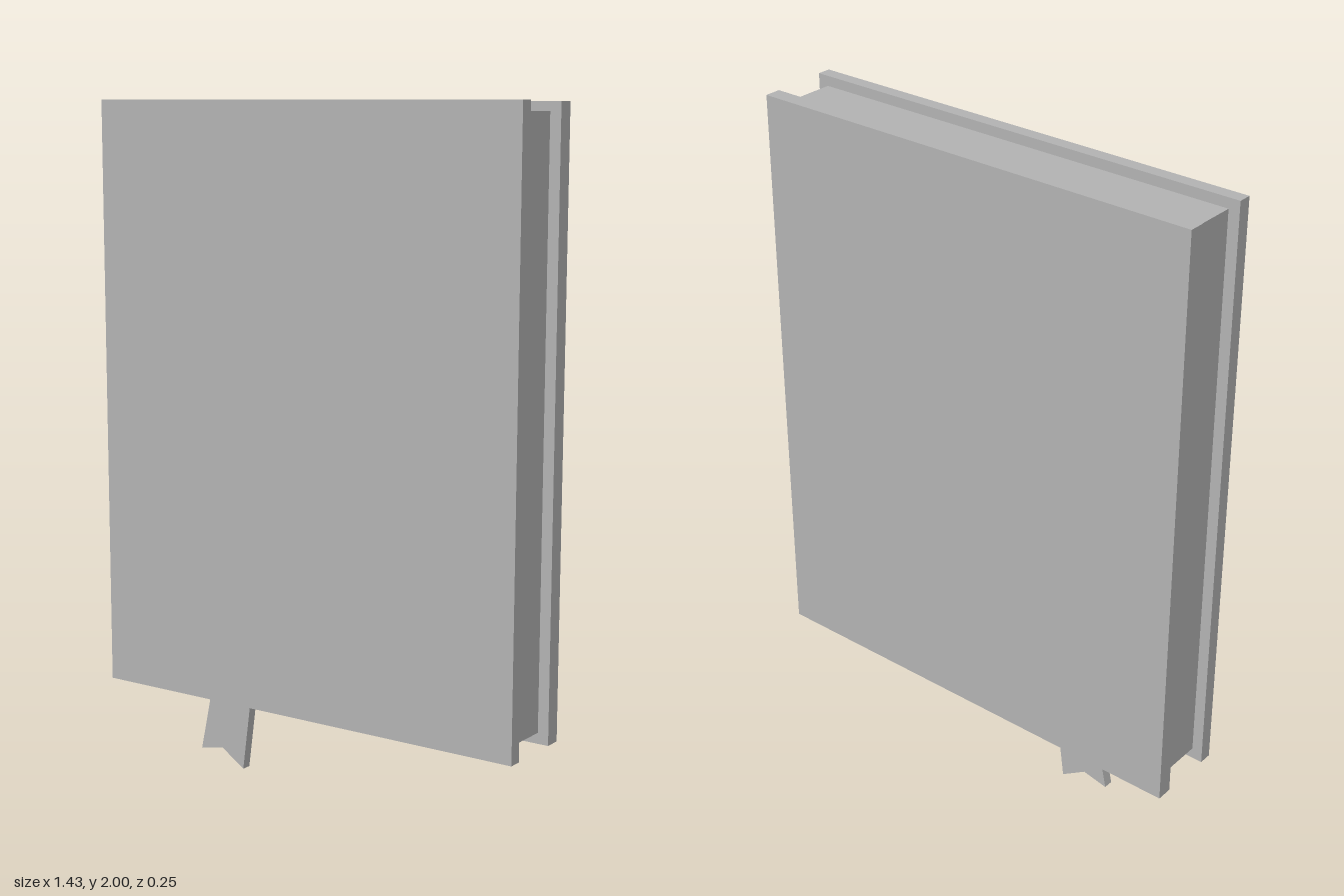
import * as THREE from 'three';

export function createModel() {
  const group = new THREE.Group();
  const grey = new THREE.MeshStandardMaterial({ color: 0xb2b2b2 });
  grey.name = 'plain grey';

  // Box given by its half width and its y and z ranges
  const slab = (name, halfWidth, y0, y1, z0, z1) => {
    const mesh = new THREE.Mesh(new THREE.BoxGeometry(halfWidth * 2, y1 - y0, z1 - z0), grey);
    mesh.name = name;
    mesh.position.set(0, (y0 + y1) / 2, (z0 + z1) / 2);
    group.add(mesh);
  };

  slab('frontCover', 0.713, 0.231, 2.0, 0.085, 0.125);
  slab('backCover', 0.713, 0.233, 1.996, -0.126, -0.077);
  slab('pageBlock', 0.68, 0.265, 1.97, -0.077, 0.085);

  // Bookmark ribbon with a notched, slanted end
  const outline = new THREE.Shape([
    [-0.38, 0.27], [-0.43, 0.035], [-0.35, 0.052], [-0.27, 0], [-0.234, 0.27],
  ].map(([x, y]) => new THREE.Vector2(x, y)));
  const ribbon = new THREE.Mesh(
    new THREE.ExtrudeGeometry(outline, { depth: 0.03, bevelEnabled: false }), grey);
  ribbon.name = 'bookmarkRibbon';
  ribbon.position.z = 0.007;
  group.add(ribbon);

  return group;
}
